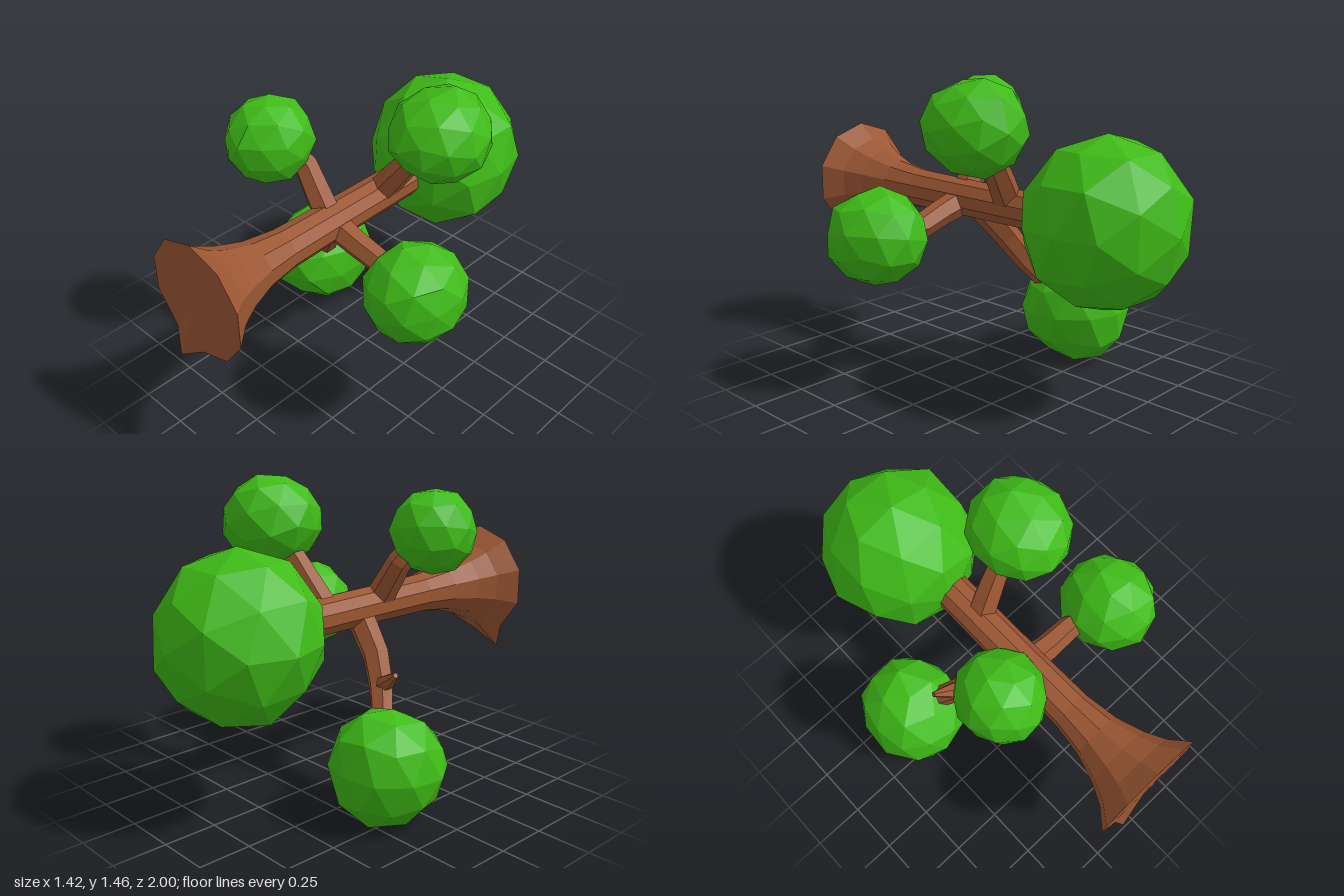
import * as THREE from 'three';

const bark = new THREE.MeshStandardMaterial({ color: 0x9c5733, flatShading: true });
const leaf = new THREE.MeshStandardMaterial({ color: 0x3fbb17, flatShading: true });

// Skin a list of rings (equal numbers of points) and close both ends.
function loft(rings) {
  const n = rings[0].length, last = rings.length - 1;
  const points = rings.flat(), index = [];
  for (let i = 0; i < last; i++) {
    for (let j = 0; j < n; j++) {
      const k = (j + 1) % n;
      const a = i * n + j, b = i * n + k, c = b + n, d = a + n;
      index.push(a, b, c, a, c, d);
    }
  }
  for (const i of [0, last]) {
    const centre = new THREE.Vector3();
    rings[i].forEach(p => centre.addScaledVector(p, 1 / n));
    points.push(centre);
    for (let j = 0; j < n; j++) {
      const a = i * n + j, b = i * n + (j + 1) % n;
      if (i === 0) index.push(points.length - 1, b, a);
      else index.push(points.length - 1, a, b);
    }
  }
  const geo = new THREE.BufferGeometry().setFromPoints(points);
  geo.setIndex(index);
  geo.computeVertexNormals();
  return geo;
}

// Six-sided branch through points [x, y, z, radius].
function branchGeometry(path) {
  const pts = path.map(p => new THREE.Vector3(p[0], p[1], p[2]));
  return loft(pts.map((p, i) => {
    const dir = pts[Math.min(i + 1, pts.length - 1)].clone().sub(pts[Math.max(i - 1, 0)]).normalize();
    const u = new THREE.Vector3(0, 0, 1).addScaledVector(dir, -dir.z).normalize();
    const v = dir.clone().cross(u);
    return Array.from({ length: 6 }, (_, k) => {
      const a = k * Math.PI / 3;
      return p.clone().addScaledVector(u, Math.cos(a) * path[i][3]).addScaledVector(v, Math.sin(a) * path[i][3]);
    });
  }));
}

// Ten-sided flared trunk lying along z, with a pointed root at one rim corner.
function trunkGeometry() {
  const profile = [ // z, radius, extra root length
    [0.97, 0.28, 0.105], [0.88, 0.205, 0.025], [0.79, 0.16, 0], [0.66, 0.118, 0],
    [0.5, 0.096, 0], [0.2, 0.091, 0], [-0.4, 0.088, 0],
  ];
  const angles = Array.from({ length: 10 }, (_, k) => 450 - k * 36);
  angles.splice(6, 0, 251);
  return loft(profile.map(([z, r, root], i) => angles.map((deg, k) => {
    const a = deg * Math.PI / 180, isRoot = k === 6;
    const rad = isRoot ? r * 0.951 + root : r;
    return new THREE.Vector3(-0.03 + rad * Math.cos(a), 0.84 + rad * Math.sin(a), z + (isRoot && i === 0 ? 0.03 : 0));
  })));
}

// Faceted, slightly uneven ball fitted to a box; taper narrows its height towards +z.
function foliageGeometry(min, max, seed, taper = 0) {
  const geo = new THREE.IcosahedronGeometry(1, 1);
  geo.rotateX(seed * 1.3).rotateY(seed * 0.7);
  const pos = geo.attributes.position, p = new THREE.Vector3();
  for (let i = 0; i < pos.count; i++) {
    p.fromBufferAttribute(pos, i);
    p.multiplyScalar(1 + 0.035 * Math.sin(p.x * 5 + seed) * Math.cos(p.y * 4 - p.z * 3 + seed));
    p.y *= 1 - taper * p.z;
    pos.setXYZ(i, p.x, p.y, p.z);
  }
  geo.computeBoundingBox();
  const centre = geo.boundingBox.getCenter(new THREE.Vector3());
  const size = geo.boundingBox.getSize(new THREE.Vector3());
  geo.translate(-centre.x, -centre.y, -centre.z);
  geo.scale(...[0, 1, 2].map(k => (max[k] - min[k]) / size.getComponent(k)));
  geo.translate(...[0, 1, 2].map(k => (max[k] + min[k]) / 2));
  geo.computeVertexNormals();
  return geo;
}

export function createModel() {
  const tree = new THREE.Group();
  tree.name = 'tree';
  const add = (name, geo, mat) => {
    const mesh = new THREE.Mesh(geo, mat);
    mesh.name = name;
    tree.add(mesh);
  };

  add('trunk', trunkGeometry(), bark);

  // Branches and the broken twig
  const branches = {
    leftBranch: [[-0.03, 0.83, 0.2, 0.07], [0.12, 0.79, 0.2, 0.062], [0.26, 0.75, 0.19, 0.058], [0.4, 0.74, 0.21, 0.05]],
    upperRightBranch: [[-0.03, 0.84, 0.21, 0.07], [-0.12, 0.97, 0.205, 0.063], [-0.19, 1.07, 0.2, 0.058], [-0.24, 1.15, 0.24, 0.05]],
    upperLeftBranch: [[-0.03, 0.84, -0.1, 0.07], [0.06, 0.97, -0.13, 0.065], [0.15, 1.1, -0.155, 0.055], [0.2, 1.17, -0.165, 0.05]],
    lowerRightBranch: [[-0.03, 0.82, 0.09, 0.07], [-0.18, 0.65, 0.06, 0.064], [-0.26, 0.53, 0.015, 0.058],
      [-0.335, 0.42, -0.05, 0.052], [-0.41, 0.34, -0.1, 0.045]],
    twig: [[-0.24, 0.52, 0.02, 0.045], [-0.32, 0.57, -0.005, 0.035], [-0.395, 0.625, -0.03, 0.013]],
  };
  for (const [name, path] of Object.entries(branches)) add(name, branchGeometry(path), bark);

  // Foliage
  add('crown', foliageGeometry([-0.44, 0.46, -1.0], [0.3, 1.235, -0.25], 0), leaf);
  add('upperRightFoliage', foliageGeometry([-0.48, 1.02, 0.12], [-0.1, 1.4, 0.515], 1), leaf);
  add('upperLeftFoliage', foliageGeometry([0.045, 1.035, -0.405], [0.5, 1.46, 0.075], 2, 0.12), leaf);
  add('leftFoliage', foliageGeometry([0.28, 0.525, -0.01], [0.71, 0.96, 0.465], 3), leaf);
  add('lowerRightFoliage', foliageGeometry([-0.715, 0, -0.41], [-0.225, 0.515, 0.125], 4, 0.18), leaf);

  return tree;
}
